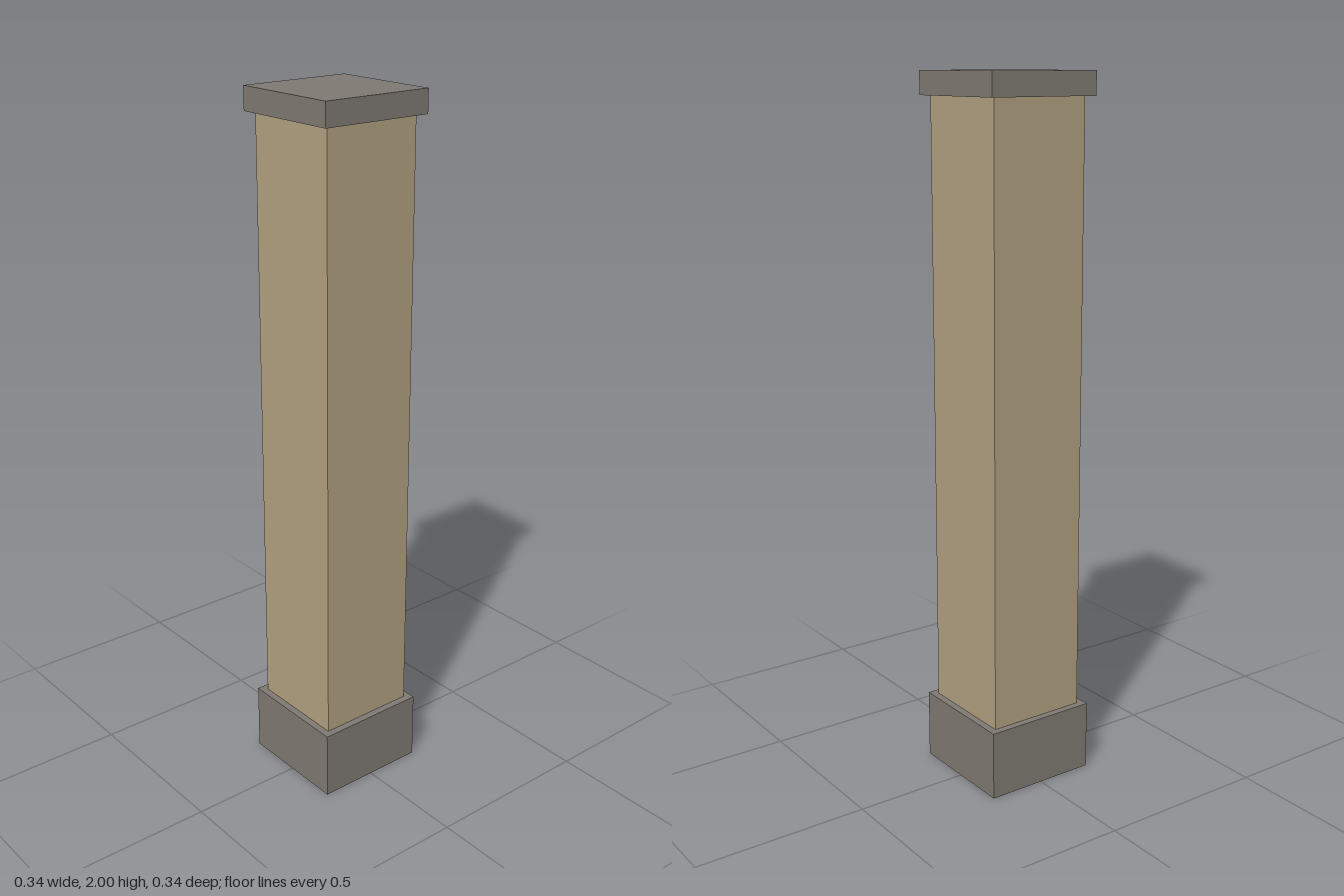
import * as THREE from 'three';

// Square block from y0 to y1; faces listed in `open` are left out
// (0 +x, 1 -x, 2 top, 3 bottom, 4 +z, 5 -z)
function block(name, width, y0, y1, material, open = []) {
  const geometry = new THREE.BoxGeometry(width, y1 - y0, width);
  const index = Array.from(geometry.index.array);
  geometry.setIndex(index.filter((_, i) => !open.includes(Math.floor(i / 6))));
  geometry.clearGroups();
  geometry.translate(0, (y0 + y1) / 2, 0);
  const mesh = new THREE.Mesh(geometry, material);
  mesh.name = name;
  return mesh;
}

export function createModel() {
  const stone = new THREE.MeshStandardMaterial({ name: 'greyStone', color: 0x807a73, side: THREE.DoubleSide });
  const sand = new THREE.MeshStandardMaterial({ name: 'sandShaft', color: 0xb3a282 });

  const pillar = new THREE.Group();
  pillar.name = 'pillar';
  pillar.add(
    block('base', 0.335, 0, 0.2, stone, [3]),            // hollow plinth, open underneath
    block('shaft', 0.293, 0.2, 1.935, sand, [2, 3]),     // ends hidden by base and capital
    block('capital', 0.335, 1.935, 2, stone)
  );
  return pillar;
}
